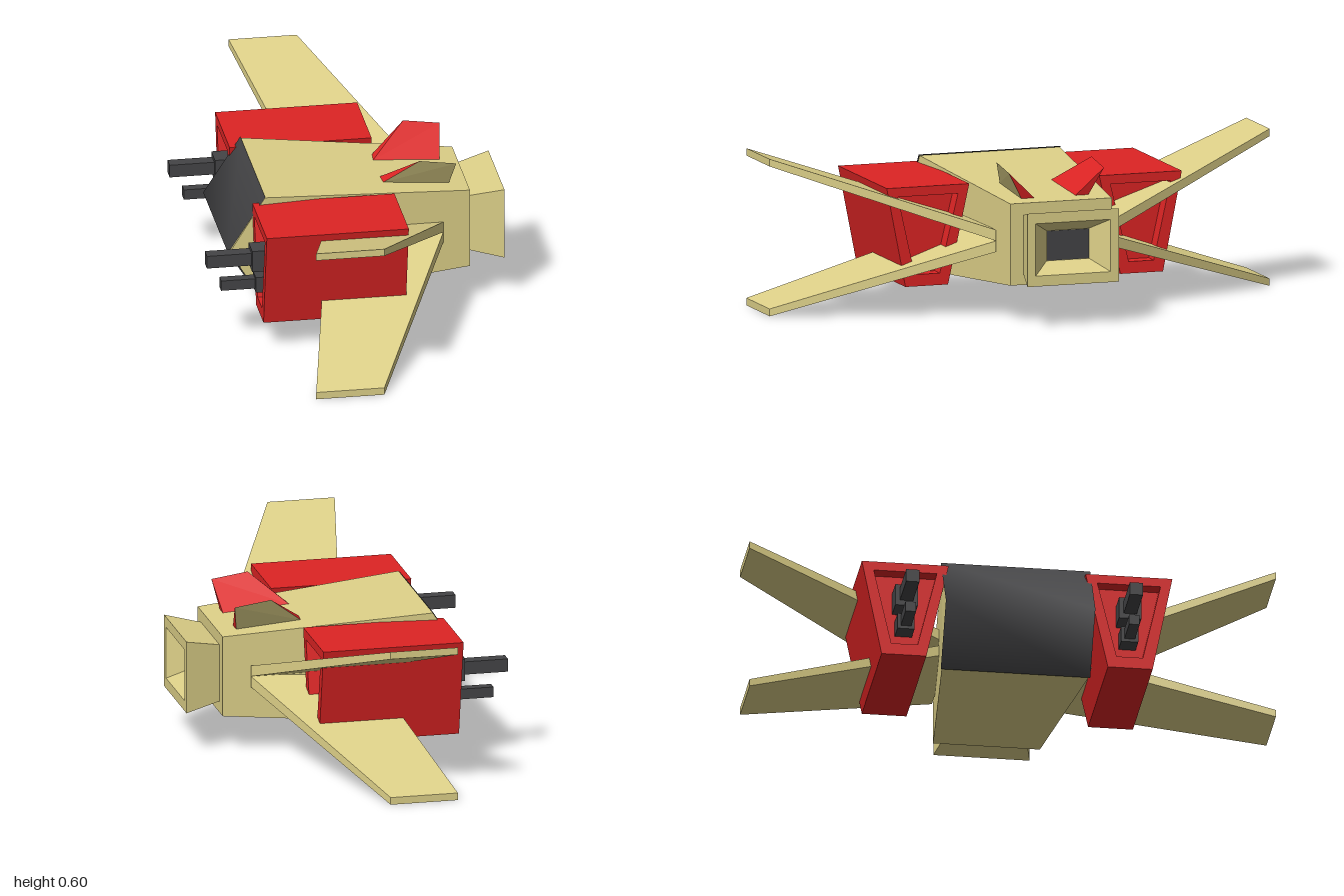
import * as THREE from 'three';

const material = (color) => new THREE.MeshStandardMaterial({ color, flatShading: true });
const beige = material(0xddd088);
const red = material(0xdd2424);
const dark = material(0x444446);

// Closed solid through four-cornered rings; winding is turned outward by its signed volume.
function loft(name, rings, mat) {
  const pos = [];
  const quad = (a, b, c, d) => pos.push(...a, ...b, ...c, ...a, ...c, ...d);
  for (let r = 0; r < rings.length - 1; r++) {
    for (let i = 0; i < 4; i++) {
      const j = (i + 1) % 4;
      quad(rings[r][i], rings[r][j], rings[r + 1][j], rings[r + 1][i]);
    }
  }
  const first = rings[0], last = rings[rings.length - 1];
  quad(first[3], first[2], first[1], first[0]);
  quad(...last);
  const v = (k) => new THREE.Vector3().fromArray(pos, k);
  let volume = 0;
  for (let k = 0; k < pos.length; k += 9) volume += v(k).dot(v(k + 3).cross(v(k + 6)));
  if (volume < 0) {
    for (let k = 0; k < pos.length; k += 9) {
      for (let c = 0; c < 3; c++) [pos[k + 3 + c], pos[k + 6 + c]] = [pos[k + 6 + c], pos[k + 3 + c]];
    }
  }
  return surface(name, pos, null, mat);
}

function surface(name, pos, index, mat) {
  const geo = new THREE.BufferGeometry();
  geo.setAttribute('position', new THREE.Float32BufferAttribute(pos, 3));
  if (index) geo.setIndex(index);
  geo.computeVertexNormals();
  const mesh = new THREE.Mesh(geo, mat);
  mesh.name = name;
  return mesh;
}

// Rectangle across the x axis
const rect = (x, y0, y1, w) => [[x, y0, -w], [x, y1, -w], [x, y1, w], [x, y0, w]];

function box(name, x0, x1, y0, y1, z, width, mat) {
  const mesh = new THREE.Mesh(new THREE.BoxGeometry(x1 - x0, y1 - y0, width), mat);
  mesh.position.set((x0 + x1) / 2, (y0 + y1) / 2, z);
  mesh.name = name;
  return mesh;
}

// Engine pod with a recess at each end, and its two guns
function pod(s) {
  const group = new THREE.Group();
  group.name = s > 0 ? 'frontSidePod' : 'backSidePod';
  const outer = (x) => [[x, 0.11, s * 0.345], [x, 0.49, s * 0.26], [x, 0.49, s * 0.59], [x, 0.11, s * 0.515]];
  const inner = (x) => [[x, 0.155, s * 0.378], [x, 0.455, s * 0.305], [x, 0.455, s * 0.545], [x, 0.155, s * 0.478]];
  group.add(loft('podShell',
    [inner(-0.33), inner(-0.385), outer(-0.385), outer(0.157), inner(0.157), inner(0.1)], red));
  const z = s * 0.425;
  group.add(
    box('upperGunBase', -0.42, -0.32, 0.3, 0.385, z, 0.085, dark),
    box('upperGunBarrel', -0.59, -0.41, 0.32, 0.37, z, 0.05, dark),
    box('lowerGunBase', -0.405, -0.32, 0.21, 0.272, z, 0.065, dark),
    box('lowerGunBarrel', -0.535, -0.4, 0.222, 0.262, z, 0.04, dark),
  );
  return group;
}

// Swept wing plate; v = 1 rises, v = -1 drops
function wing(s, v) {
  const ring = (z, lead, trail, lo, hi) => [
    [lead, 0.3 + v * lo, s * z], [lead, 0.3 + v * hi, s * z],
    [trail, 0.3 + v * hi, s * z], [trail, 0.3 + v * lo, s * z]];
  return loft(v > 0 ? 'upperWing' : 'lowerWing',
    [ring(0.222, -0.1, 0.35, 0, 0.042), ring(1, -0.265, -0.005, 0.272, 0.3)], beige);
}

// Tail fin leaning outward: red wedge with a beige outer skin
function fin(s) {
  const group = new THREE.Group();
  group.name = 'tailFin';
  const A = [0.13, 0.48, s * 0.075], B = [0.385, 0.455, s * 0.075];
  const C = [0.135, 0.48, s * 0.13], D = [0.385, 0.455, s * 0.13];
  const E = [0.265, 0.585, s * 0.19], F = [0.405, 0.565, s * 0.19];
  const add = (name, tris, mat) => group.add(
    surface(name, tris.flatMap(([a, b, c]) => (s > 0 ? [a, b, c] : [a, c, b])).flat(), null, mat));
  add('finInnerFaces', [[A, E, F], [A, F, B], [A, C, E], [B, F, D], [A, B, D], [A, D, C]], red);
  add('finOuterSkin', [[C, D, F], [C, F, E]], beige);
  return group;
}

export function createModel() {
  const model = new THREE.Group();
  model.name = 'spacecraft';

  // Tapered hull with a wedge nose
  model.add(loft('hull', [
    rect(-0.474, 0.3, 0.304, 0.28), rect(-0.34, 0.085, 0.518, 0.28), rect(0.455, 0.145, 0.457, 0.203)], beige));

  // Dark canopy wrapped smoothly over the nose edge
  const canopyPoints = [[-0.34, 0.522], [-0.482, 0.302], [-0.34, 0.081]]
    .flatMap(([x, y]) => [x, y, -0.284, x, y, 0.284]);
  model.add(surface('canopy', canopyPoints, [0, 2, 3, 0, 3, 1, 2, 4, 5, 2, 5, 3],
    new THREE.MeshStandardMaterial({ color: 0x444446, side: THREE.DoubleSide })));

  // Flared exhaust with a sunken dark end
  model.add(loft('exhaust', [
    rect(0.45, 0.19, 0.41, 0.15), rect(0.59, 0.16, 0.44, 0.183),
    rect(0.59, 0.2, 0.4, 0.15), rect(0.53, 0.245, 0.36, 0.085)], beige));
  model.add(box('exhaustCore', 0.5, 0.532, 0.246, 0.359, 0, 0.168, dark));

  for (const s of [1, -1]) model.add(pod(s), wing(s, 1), wing(s, -1), fin(s));
  return model;
}
